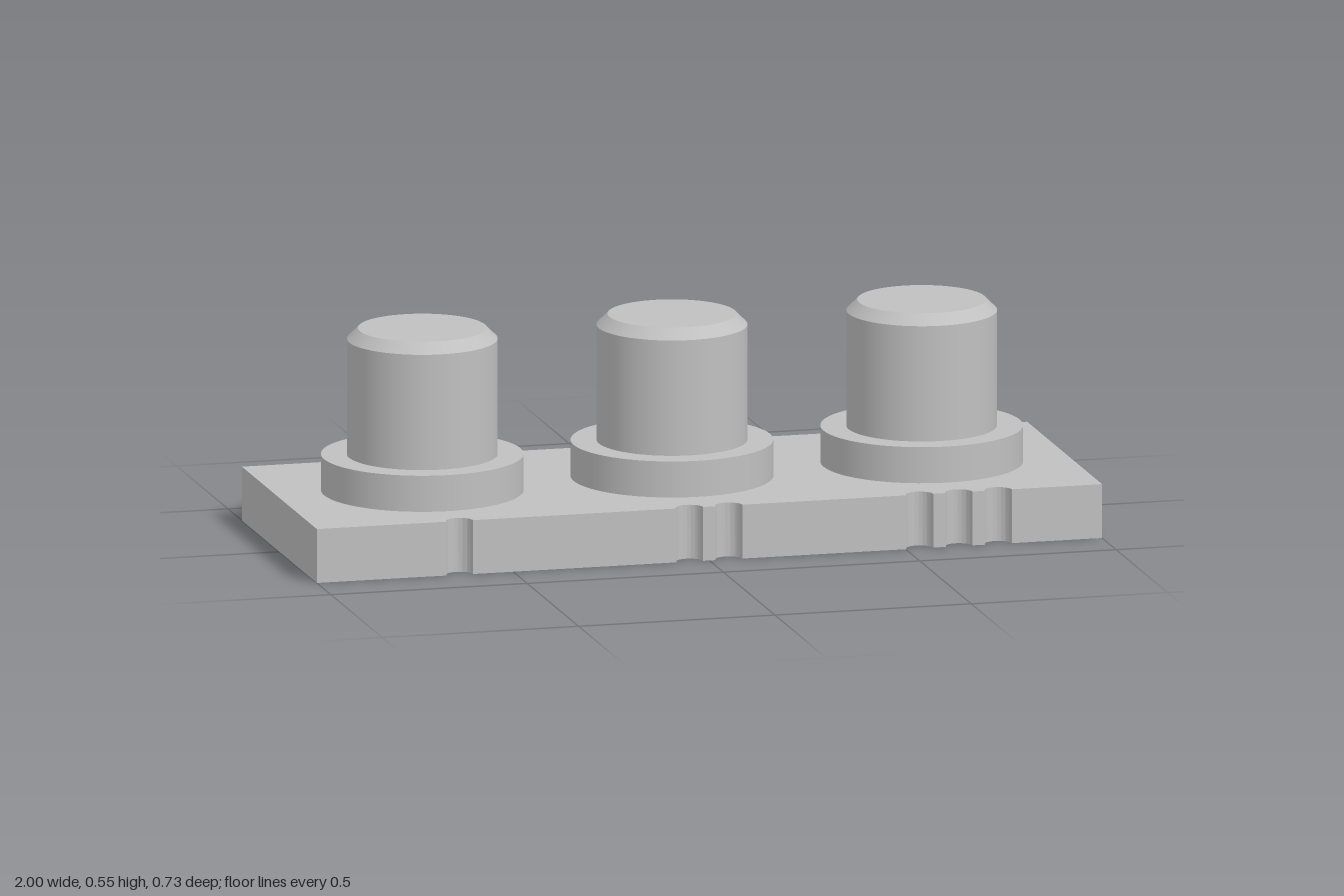
import * as THREE from 'three';
import { toCreasedNormals } from 'three/addons/utils/BufferGeometryUtils.js';

const HALF_DEPTH = 0.364, BASE_TOP = 0.136, COLLAR_TOP = 0.227, POST_TOP = 0.518, TOP = 0.545;
const SPACING = 0.636, NOTCH_RADIUS = 0.034, NOTCH_PITCH = 0.1;

export function createModel() {
  const model = new THREE.Group();
  model.name = 'threePegPlate';
  const grey = new THREE.MeshStandardMaterial({ color: 0xc0c0c0 });
  grey.name = 'light grey';

  const add = (parent, geometry, name) => {
    const mesh = new THREE.Mesh(geometry, grey);
    mesh.name = name;
    parent.add(mesh);
  };

  // Base plate, its front edge cut by one, two and three half-round notches
  const outline = new THREE.Shape();
  outline.moveTo(-1, -HALF_DEPTH);
  for (let peg = 0; peg < 3; peg++) {
    for (let i = 0; i <= peg; i++) {
      const x = (peg - 1) * SPACING + (i - peg / 2) * NOTCH_PITCH;
      outline.lineTo(x - NOTCH_RADIUS, -HALF_DEPTH);
      outline.absarc(x, -HALF_DEPTH, NOTCH_RADIUS, Math.PI, 0, true);
    }
  }
  outline.lineTo(1, -HALF_DEPTH);
  outline.lineTo(1, HALF_DEPTH);
  outline.lineTo(-1, HALF_DEPTH);
  outline.closePath();
  const plate = new THREE.ExtrudeGeometry(outline, { depth: BASE_TOP, bevelEnabled: false, curveSegments: 16 });
  plate.rotateX(-Math.PI / 2);
  add(model, toCreasedNormals(plate, 0.5), 'basePlate');

  // Stacked round section between two heights
  const section = (rTop, rBottom, y0, y1) =>
    new THREE.CylinderGeometry(rTop, rBottom, y1 - y0, 64).translate(0, (y0 + y1) / 2, 0);

  // Pegs: wide collar, post and chamfered tip
  ['rightPeg', 'middlePeg', 'leftPeg'].forEach((name, i) => {
    const peg = new THREE.Group();
    peg.name = name;
    peg.position.x = (i - 1) * SPACING;
    add(peg, section(0.25, 0.25, BASE_TOP, COLLAR_TOP), 'collar');
    add(peg, section(0.186, 0.186, COLLAR_TOP, POST_TOP), 'post');
    add(peg, section(0.159, 0.186, POST_TOP, TOP), 'chamferedTip');
    model.add(peg);
  });

  return model;
}
